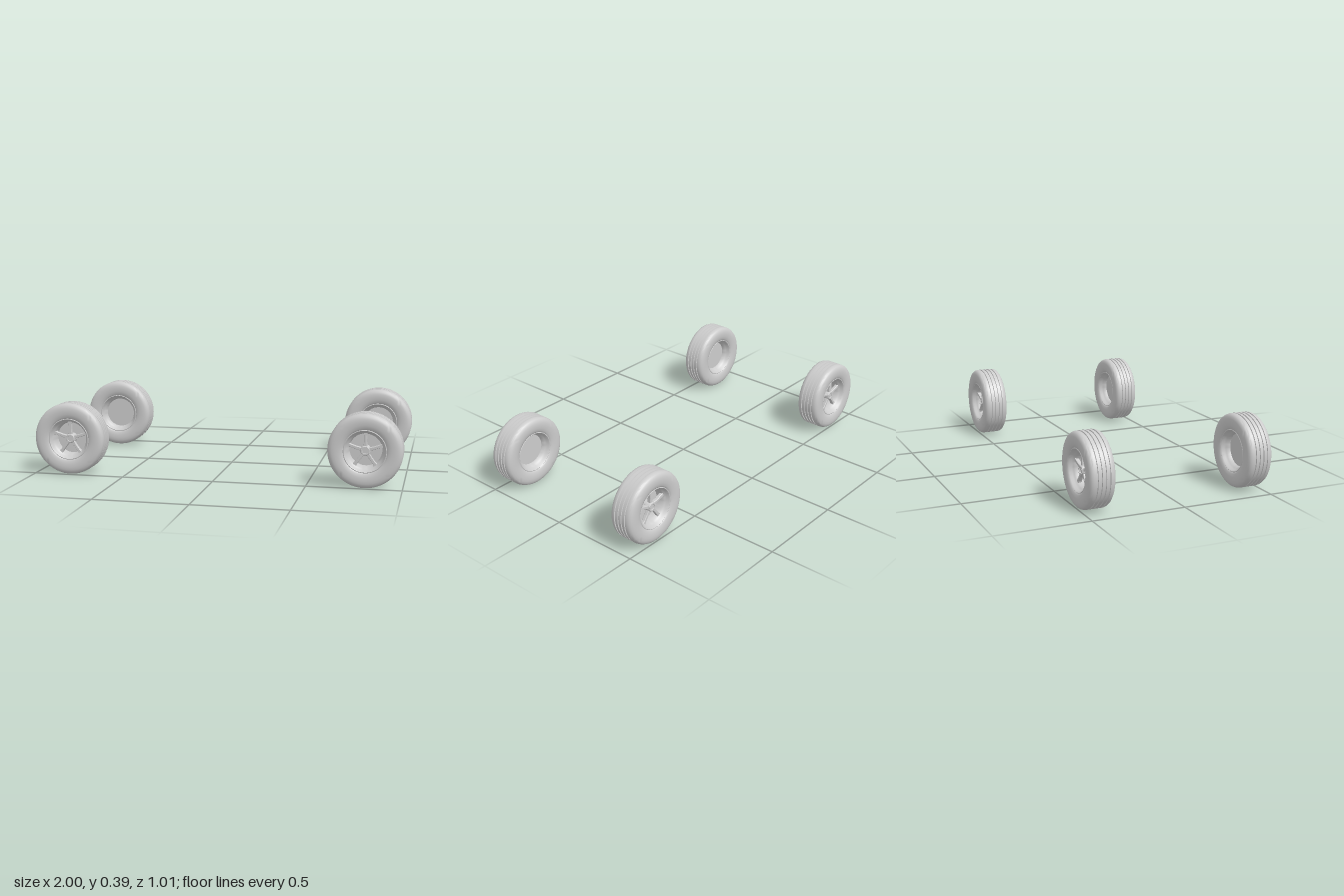
import * as THREE from 'three';
import { toCreasedNormals } from 'three/addons/utils/BufferGeometryUtils.js';

const material = new THREE.MeshStandardMaterial({ color: 0xcccccc });

function addMesh(parent, name, geometry) {
  const mesh = new THREE.Mesh(geometry, material);
  mesh.name = name;
  parent.add(mesh);
  return mesh;
}

// Revolve [radius, depth] points around the wheel axis (z, outer face at +z)
function revolve(points, segments = 64) {
  const profile = points.map(([r, a]) => new THREE.Vector2(r, a));
  const geometry = new THREE.LatheGeometry(profile, segments).rotateX(Math.PI / 2);
  return toCreasedNormals(geometry, 0.6);
}

// Tyre section: rounded shoulders and four grooves around the tread
function tyreGeometry() {
  const side = [[0.108, 0.052], [0.113, 0.06], [0.122, 0.065], [0.138, 0.069], [0.155, 0.07],
    [0.17, 0.069], [0.182, 0.065], [0.19, 0.059], [0.194, 0.051], [0.196, 0.042]];
  const tread = [];
  for (const c of [-0.033, -0.011, 0.011, 0.033]) {
    tread.push([0.196, c - 0.004], [0.191, c - 0.0025], [0.191, c + 0.0025], [0.196, c + 0.004]);
  }
  const inner = side.map(([r, a]) => [r, -a]);
  return revolve([...inner, ...tread, ...side.reverse(), inner[0]], 72);
}

// Rim: a stepped barrel with a lip on both sides
function rimGeometry() {
  return revolve([[0.114, -0.06], [0.114, 0.06], [0.11, 0.062], [0.106, 0.058], [0.103, 0.046],
    [0.096, 0.038], [0.09, 0.03], [0.087, 0.01], [0.085, -0.012], [0.087, -0.024],
    [0.096, -0.038], [0.103, -0.046], [0.106, -0.058], [0.11, -0.062], [0.114, -0.06]]);
}

// Spoke: narrow arm that flares where it meets the rim
function spokeGeometry() {
  const half = [[0.018, 0.008], [0.05, 0.0055], [0.08, 0.006], [0.096, 0.01]];
  const outline = [...half.map(([r, w]) => [w, r]), ...half.reverse().map(([r, w]) => [-w, r])];
  const shape = new THREE.Shape(outline.map(([x, y]) => new THREE.Vector2(x, y)));
  return new THREE.ExtrudeGeometry(shape, {
    depth: 0.014, bevelEnabled: true, bevelThickness: 0.003, bevelSize: 0.002, bevelSegments: 1,
  }).translate(0, 0, 0.018);
}

export function createModel() {
  const model = new THREE.Group();
  model.name = 'wheelSet';

  const tyre = tyreGeometry();
  const rim = rimGeometry();
  const disc = revolve([[0, -0.018], [0.088, -0.018], [0.088, -0.008], [0, -0.008]], 48);
  const spoke = spokeGeometry();
  const hub = revolve([[0, -0.01], [0.026, -0.01], [0.026, 0.034], [0.022, 0.041],
    [0.016, 0.041], [0.015, 0.036], [0, 0.036]], 32);
  const nut = new THREE.CylinderGeometry(0.0035, 0.0035, 0.006, 6).rotateX(Math.PI / 2);

  function makeWheel(name) {
    const wheel = new THREE.Group();
    wheel.name = name;
    addMesh(wheel, 'tyre', tyre);
    addMesh(wheel, 'rim', rim);
    addMesh(wheel, 'backingDisc', disc);
    addMesh(wheel, 'hub', hub);
    for (let i = 0; i < 5; i++) {
      const angle = i * Math.PI * 2 / 5;
      addMesh(wheel, 'spoke', spoke).rotation.z = angle;
      // Nuts sit on the hub face in line with the spokes
      addMesh(wheel, 'wheelNut', nut)
        .position.set(-Math.sin(angle) * 0.019, Math.cos(angle) * 0.019, 0.042);
    }
    return wheel;
  }

  // Four wheels, outer faces turned away from the centre
  for (const sx of [-1, 1]) {
    for (const sz of [-1, 1]) {
      const wheel = makeWheel((sz > 0 ? 'front' : 'back') + (sx > 0 ? 'Left' : 'Right') + 'Wheel');
      wheel.position.set(sx * 0.804, 0.196, sz * 0.437);
      if (sz < 0) wheel.rotation.y = Math.PI;
      model.add(wheel);
    }
  }
  return model;
}
